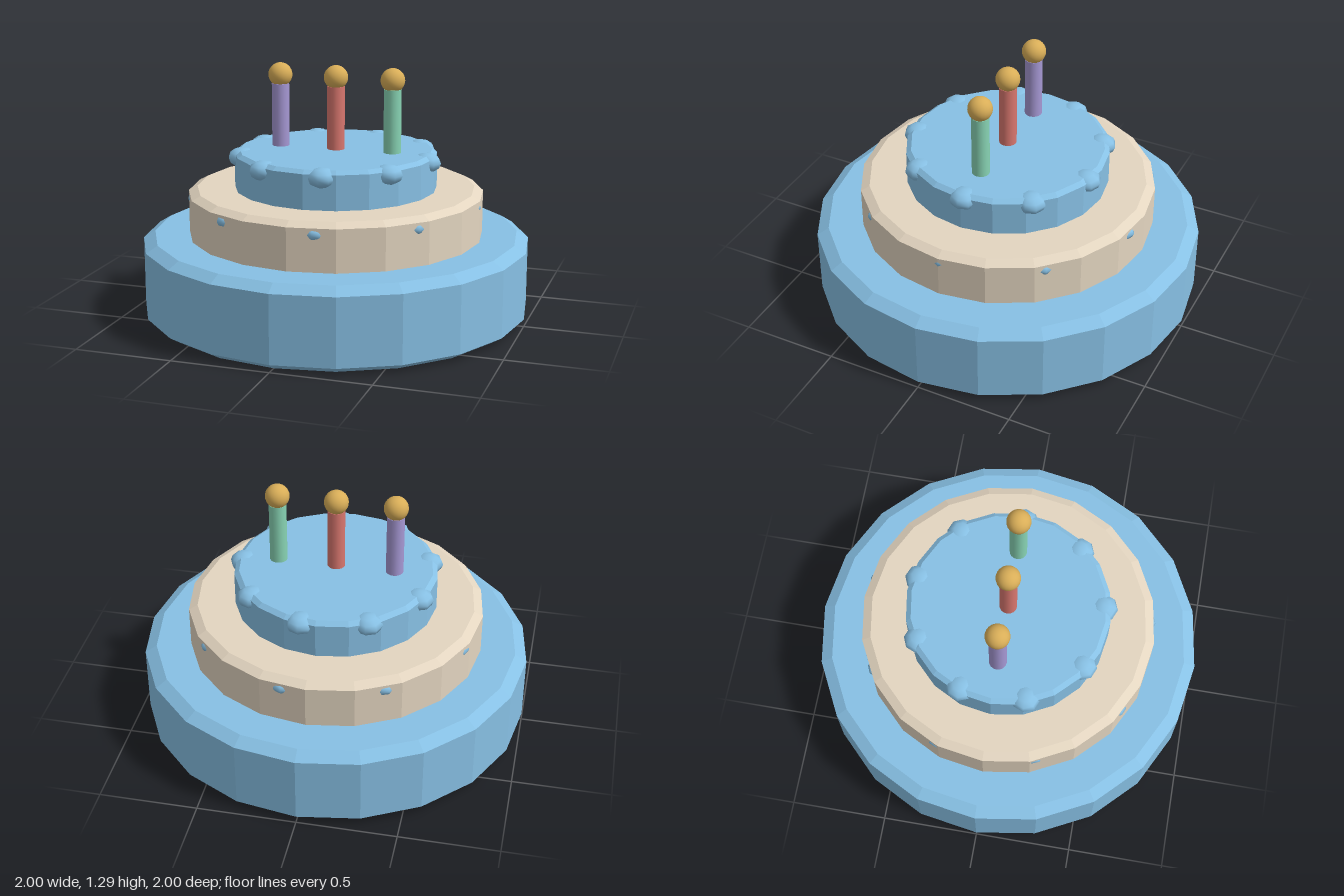
import * as THREE from 'three';

const paint = (name, color, flatShading = false) => {
  const m = new THREE.MeshStandardMaterial({ color, flatShading });
  m.name = name;
  return m;
};

export function createModel() {
  const cake = new THREE.Group();
  cake.name = 'cake';

  const blue = paint('blueIcing', 0x87c0e4, true);
  const cream = paint('creamIcing', 0xe3d5c0, true);
  const gold = paint('goldFlame', 0xd9ae58);
  const purple = paint('purpleWax', 0xa698d4);
  const red = paint('redWax', 0xd9776f);
  const green = paint('greenWax', 0x88d4b4);
  const blueSmooth = blue.clone();
  blueSmooth.flatShading = false;
  blueSmooth.name = 'blueDollop';

  const add = (name, geometry, material, x = 0, y = 0, z = 0) => {
    const mesh = new THREE.Mesh(geometry, material);
    mesh.name = name;
    mesh.position.set(x, y, z);
    cake.add(mesh);
    return mesh;
  };

  // Tiers: twenty-sided drums with bevelled rims
  const tier = (name, material, radius, y0, y1, bevelIn, bevelUp) => {
    const profile = [
      [0, y0], [radius - bevelIn, y0], [radius, y0 + bevelUp],
      [radius, y1 - bevelUp], [radius - bevelIn, y1], [0, y1],
    ].map(([r, y]) => new THREE.Vector2(r, y));
    add(name, new THREE.LatheGeometry(profile, 20), material);
  };
  tier('bottomTier', blue, 1, 0, 0.42, 0.06, 0.037);
  tier('middleTier', cream, 0.76, 0.38, 0.66, 0.045, 0.024);
  tier('topTier', blue, 0.52, 0.62, 0.855, 0.025, 0.018);

  // Rings of nine squashed icing dollops
  const ring = (name, ringRadius, y, radius, height) => {
    const geometry = new THREE.SphereGeometry(radius, 8, 6);
    geometry.scale(1, height / radius, 1);
    for (let i = 0; i < 9; i++) {
      const a = (i / 9) * Math.PI * 2;
      add(name, geometry, blueSmooth, Math.cos(a) * ringRadius, y, Math.sin(a) * ringRadius);
    }
  };
  ring('rimDollop', 0.48, 0.815, 0.075, 0.05);
  ring('sideDot', 0.71, 0.602, 0.055, 0.036);

  // Candles with round flames
  const wax = new THREE.CylinderGeometry(0.045, 0.045, 0.35, 16);
  const flame = new THREE.SphereGeometry(0.062, 20, 14);
  [purple, red, green].forEach((material, i) => {
    const x = (i - 1) * 0.3;
    add('candle', wax, material, x, 1.005);
    add('flame', flame, gold, x, 1.225);
  });

  return cake;
}
